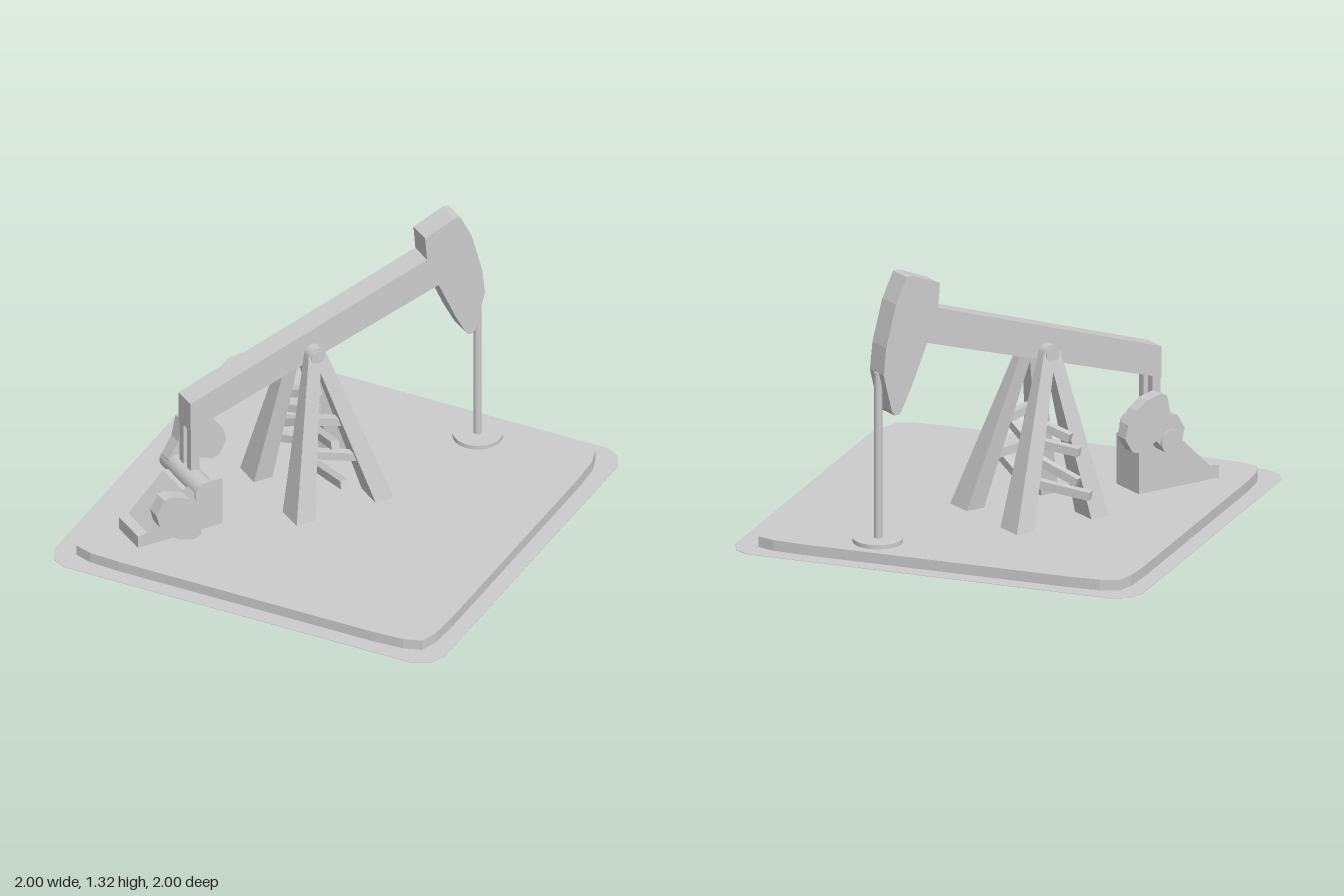
import * as THREE from 'three';

const material = new THREE.MeshStandardMaterial({ color: 0xcccccc, flatShading: true });
const smooth = new THREE.MeshStandardMaterial({ color: 0xcccccc });
const lerp = THREE.MathUtils.lerp;

function add(parent, name, geometry, mat = material) {
  const mesh = new THREE.Mesh(geometry, mat);
  mesh.name = name;
  parent.add(mesh);
  return mesh;
}

// Side profile (x, y) extruded between two z values
function slab(points, z0, z1) {
  const shape = new THREE.Shape(points.map(p => new THREE.Vector2(...p)));
  return new THREE.ExtrudeGeometry(shape, { depth: z1 - z0, bevelEnabled: false }).translate(0, 0, z0);
}

// Horizontal plate from one corner's points (+x, +z), repeated in all four corners
function plate(corner, height) {
  const back = [...corner].reverse();
  const outline = [
    ...corner,
    ...back.map(([x, z]) => [-x, z]),
    ...corner.map(([x, z]) => [-x, -z]),
    ...back.map(([x, z]) => [x, -z]),
  ];
  return slab(outline, 0, height).rotateX(-Math.PI / 2);
}

// Tapered box between two rectangles [x0, x1, z0, z1]
function taper(bottom, top, y0, y1) {
  const g = new THREE.BoxGeometry(1, 1, 1);
  const p = g.attributes.position;
  for (let i = 0; i < p.count; i++) {
    const r = p.getY(i) < 0 ? bottom : top;
    p.setXYZ(i, p.getX(i) < 0 ? r[0] : r[1], p.getY(i) < 0 ? y0 : y1, p.getZ(i) < 0 ? r[2] : r[3]);
  }
  g.computeVertexNormals();
  return g;
}

// Square bar between two points
function bar(parent, name, a, b, size) {
  const mesh = add(parent, name, new THREE.BoxGeometry(size, size, a.distanceTo(b)));
  mesh.position.copy(a).lerp(b, 0.5);
  mesh.lookAt(b);
  return mesh;
}

// Cylinder lying across the beam
function crossCylinder(parent, name, r, x, y, z0, z1) {
  const g = new THREE.CylinderGeometry(r, r, z1 - z0, 20).rotateX(Math.PI / 2);
  return add(parent, name, g.translate(x, y, (z0 + z1) / 2), smooth);
}

export function createModel() {
  const model = new THREE.Group();
  model.name = 'oilPump';

  // Ground pad and raised slab
  add(model, 'groundPad', plate([[1, 0.89], [0.963, 0.963], [0.89, 1]], 0.002));
  add(model, 'baseSlab', plate([[0.92, 0.65], [0.912, 0.8], [0.885, 0.885], [0.8, 0.912], [0.65, 0.92]], 0.053));

  // Machine built along its own x axis, then turned across the slab
  const pump = new THREE.Group();
  pump.name = 'pump';
  pump.position.set(-0.135, 0, -0.077);
  pump.rotation.y = 0.954;
  model.add(pump);

  // Walking beam and curved head
  add(pump, 'walkingBeam', slab([[-0.689, 0.58], [0.62, 0.99], [0.58, 1.155], [-0.689, 0.73]], -0.057, 0.057));
  add(pump, 'beamHead', slab([
    [0.6, 0.985], [0.69, 0.78], [0.742, 0.68], [0.757, 0.665], [0.78, 0.667], [0.795, 0.69],
    [0.84, 0.87], [0.826, 1.0], [0.772, 1.2], [0.712, 1.322], [0.68, 1.322], [0.53, 1.26], [0.54, 1.14],
  ], -0.057, 0.057));

  // Polished rod and wellhead disc
  add(pump, 'rod', new THREE.CylinderGeometry(0.019, 0.019, 0.82, 12).translate(0.832, 0.46, 0), smooth);
  add(pump, 'wellheadDisc', new THREE.CylinderGeometry(0.116, 0.116, 0.022, 32).translate(0.834, 0.062, 0), smooth);

  // Tower: an A-frame with zigzag bracing on each side of the beam
  const pivotX = -0.055, pivotY = 0.82;
  for (const side of [-1, 1]) {
    const span = (a, b) => (side > 0 ? [a, b] : [-b, -a]);
    const frame = new THREE.Group();
    frame.name = side > 0 ? 'leftFrame' : 'rightFrame';
    pump.add(frame);
    add(frame, 'rearLeg', taper(
      [-0.254, -0.158, ...span(0.14, 0.276)], [-0.1, -0.035, ...span(0.06, 0.105)], 0.05, 0.83));
    add(frame, 'frontLeg', taper(
      [0.158, 0.254, ...span(0.14, 0.276)], [-0.075, -0.01, ...span(0.06, 0.105)], 0.05, 0.83));
    crossCylinder(frame, 'bearing', 0.045, pivotX, pivotY, ...span(0.055, 0.105));

    const onLeg = (end, y) => {
      const t = (y - 0.05) / 0.78;
      const x = end < 0 ? lerp(-0.206, -0.068, t) : lerp(0.206, -0.043, t);
      return new THREE.Vector3(x, y, side * lerp(0.2, 0.082, t));
    };
    const heights = [0.15, 0.26, 0.35, 0.44, 0.52];
    for (let i = 0; i < 4; i++) {
      const end = i % 2 ? 1 : -1;
      bar(frame, 'brace', onLeg(end, heights[i]), onLeg(-end, heights[i + 1]), 0.04);
    }
  }
  crossCylinder(pump, 'pivotPin', 0.035, pivotX, pivotY, -0.113, 0.113);

  // Gearbox with sloping motor housing
  add(pump, 'gearbox', slab([
    [-0.98, 0.05], [-0.54, 0.05], [-0.54, 0.3], [-0.75, 0.3], [-0.93, 0.12], [-0.98, 0.115],
  ], -0.093, 0.093));

  // Crankshaft
  const crankX = -0.669, crankY = 0.305;
  crossCylinder(pump, 'crankshaft', 0.057, crankX, crankY, -0.175, 0.175);

  // Fan-shaped counterweights, set half a turn apart
  const fan = [
    [-0.02, 0.05], [-0.08, -0.015], [-0.176, 0.025], [-0.212, 0.015], [-0.252, -0.055],
    [-0.235, -0.12], [-0.19, -0.18], [-0.13, -0.222], [-0.055, -0.24], [-0.022, -0.225],
    [0, -0.12], [0.05, -0.035], [0.04, 0.03],
  ];
  for (const side of [-1, 1]) {
    const weight = add(pump, 'counterweight', side > 0 ? slab(fan, 0.1, 0.165) : slab(fan, -0.165, -0.1));
    weight.position.set(crankX, crankY, 0);
    if (side < 0) weight.rotation.z = Math.PI;
    // Connecting arm up to the beam tail
    add(pump, 'connectingArm', new THREE.BoxGeometry(0.045, 0.31, 0.036)
      .translate(-0.662, 0.455, side * 0.036));
  }
  return model;
}
